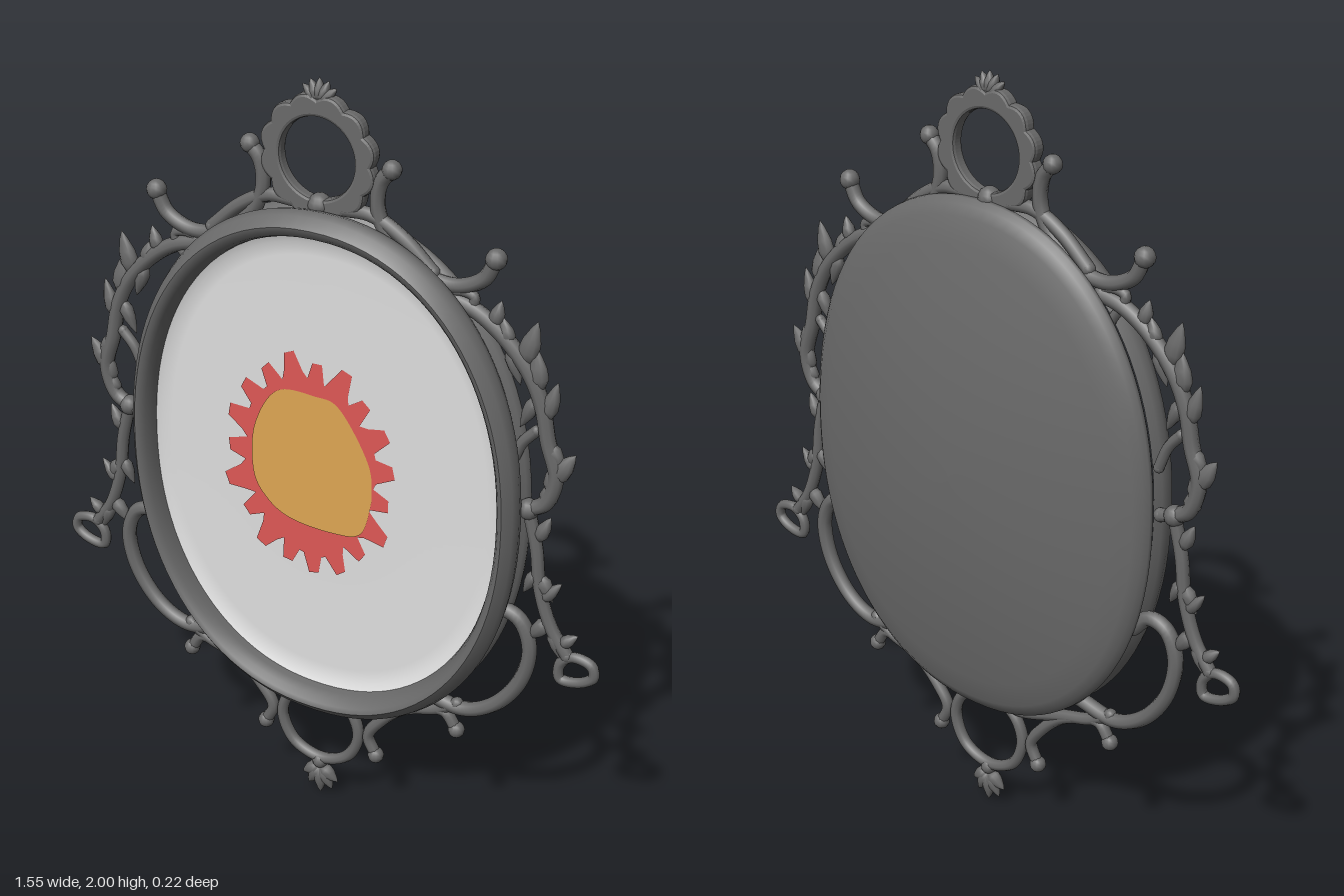
import * as THREE from 'three';

const iron = new THREE.MeshStandardMaterial({ color: 0x696969 });
iron.name = 'dark iron';
const glass = new THREE.MeshStandardMaterial({ color: 0xdedede });
glass.name = 'pale glass';
const red = new THREE.MeshStandardMaterial({ color: 0xde5855 });
red.name = 'red';
const amber = new THREE.MeshStandardMaterial({ color: 0xdea653 });
amber.name = 'amber';

const Z = 0.021; // mid plane of the scrollwork

function add(parent, geometry, material, name) {
  const mesh = new THREE.Mesh(geometry, material);
  mesh.name = name;
  parent.add(mesh);
  return mesh;
}

// Rounded oval swept along a profile of [scale, z], from front centre to back centre
function ovalLoft(profile, n = 96) {
  const pos = [], idx = [];
  for (const [s, z] of profile) {
    for (let j = 0; j < n; j++) {
      const t = (j / n) * Math.PI * 2, c = Math.cos(t), d = Math.sin(t);
      const p = 2 / 2.15;
      pos.push(0.022 + 0.545 * s * Math.sign(c) * Math.abs(c) ** p,
        0.997 + 0.695 * s * Math.sign(d) * Math.abs(d) ** p, z);
    }
  }
  for (let i = 0; i < profile.length - 1; i++) {
    for (let j = 0; j < n; j++) {
      const k = (j + 1) % n, a = i * n + j, b = a + n, c = i * n + k, d = c + n;
      idx.push(a, b, c, c, b, d);
    }
  }
  const g = new THREE.BufferGeometry();
  g.setAttribute('position', new THREE.Float32BufferAttribute(pos, 3));
  g.setIndex(idx);
  g.computeVertexNormals();
  return g;
}

function ball(parent, x, y, r, name = 'scrollEnd') {
  add(parent, new THREE.SphereGeometry(r, 12, 8), iron, name).position.set(x, y, Z);
}

// Round bar through flat points, with a ball of given radius at each end
function scroll(parent, side, pts, r, name, endA = r, endB = r, closed = false) {
  const path = new THREE.CatmullRomCurve3(pts.map(([x, y]) => new THREE.Vector3(side * x, y, Z)), closed);
  add(parent, new THREE.TubeGeometry(path, pts.length * 7, r, 8, closed), iron, name);
  if (closed) return;
  const last = pts[pts.length - 1];
  ball(parent, side * pts[0][0], pts[0][1], endA);
  ball(parent, side * last[0], last[1], endB);
}

// Pointed leaf growing from x, y towards an angle in degrees
const leafGeometry = new THREE.LatheGeometry(
  [[0, 0], [0.3, 0.1], [0.48, 0.3], [0.42, 0.55], [0.2, 0.83], [0, 1]].map(([x, y]) => new THREE.Vector2(x, y)), 10);
function leaf(parent, side, x, y, angle, length, width, name = 'leaf') {
  const m = add(parent, leafGeometry, iron, name);
  m.position.set(side * x, y, Z);
  m.rotation.z = side * (angle - 90) * Math.PI / 180;
  m.scale.set(width, length, 0.036);
}

function flatShape(points, smooth) {
  const v = points.map(([x, y]) => new THREE.Vector2(x, y));
  const shape = new THREE.Shape();
  if (smooth) {
    shape.moveTo(v[0].x, v[0].y);
    shape.splineThru([...v.slice(1), v[0]]);
  } else shape.setFromPoints(v);
  return new THREE.ShapeGeometry(shape, 8);
}

export function createModel() {
  const model = new THREE.Group();

  // Oval casing: front rim, outer wall and domed back
  const casing = new THREE.Group();
  casing.name = 'casing';
  model.add(casing);
  add(casing, ovalLoft([[0.895, 0.05], [0.9, 0.07], [0.912, 0.092], [0.93, 0.106], [0.95, 0.11]]), iron, 'innerRim');
  add(casing, ovalLoft([[0.95, 0.11], [0.985, 0.088], [0.998, 0.065], [0.99, 0.045], [0.97, 0.025]]), iron, 'outerRim');
  const dome = [[0.965, 0.025], [0.985, 0.012], [0.998, 0.002], [0.995, -0.008], [0.975, -0.02]];
  for (let s = 0.94; s > 0; s -= 0.094) dome.push([Math.max(s, 0.001), -0.112 + 0.085 * s * s]);
  dome.push([0.0005, -0.112]);
  add(casing, ovalLoft(dome), iron, 'domedBack');

  // Dished face with the painted flower
  add(model, ovalLoft([[0.0005, 0.04], [0.4, 0.04], [0.82, 0.04], [0.87, 0.044], [0.905, 0.056]]), glass, 'face');
  const petals = [];
  const teeth = 19;
  for (let i = 0; i < teeth; i++) {
    const wobble = 0.012 * Math.sin(i * 2.7);
    [[0, -0.045], [0.25, 0.008], [0.6, 0.004], [0.8, -0.04]].forEach(([f, dr]) => {
      const t = ((i + f) / teeth) * Math.PI * 2;
      petals.push([-0.02 + (0.235 + dr + wobble) * Math.cos(t), 1.0 + (0.295 + dr + wobble) * Math.sin(t)]);
    });
  }
  add(model, flatShape(petals, false), red, 'flowerPetals').position.z = 0.043;
  add(model, flatShape([[0.16, 0.95], [0.15, 1.05], [0.07, 1.18], [0, 1.2], [-0.11, 1.19], [-0.175, 1.08],
    [-0.18, 0.95], [-0.14, 0.88], [-0.07, 0.84], [0.05, 0.83], [0.13, 0.85]], true), amber, 'flowerCentre').position.z = 0.046;

  // Scalloped hanging ring
  const ring = new THREE.Shape();
  for (let i = 0; i < 120; i++) {
    const t = (i / 120) * Math.PI * 2, r = 0.134 + 0.014 * Math.abs(Math.sin(t * 6));
    ring[i ? 'lineTo' : 'moveTo'](r * Math.cos(t), r * Math.sin(t));
  }
  ring.holes.push(new THREE.Path().absarc(0, 0, 0.108, 0, Math.PI * 2, true));
  const ringGeometry = new THREE.ExtrudeGeometry(ring, {
    depth: 0.018, bevelThickness: 0.009, bevelSize: 0.008, bevelSegments: 2, curveSegments: 40 });
  add(model, ringGeometry, iron, 'hangingRing').position.set(0, 1.808, Z - 0.009);

  // Finials at top and bottom
  for (const a of [40, 65, 90, 115, 140]) leaf(model, 1, 0, 1.94, a, 0.06, 0.032, 'topFinial');
  for (const a of [-35, -62, -90, -118, -145]) leaf(model, 1, 0, 0.088, a, 0.088 - Math.abs(a + 90) * 0.0004, 0.045, 'bottomFinial');
  ball(model, 0, 0.105, 0.022, 'bottomKnob');
  ball(model, 0, 1.69, 0.03, 'ringMount');

  // Loop under the casing
  scroll(model, 1, [[-0.05, 0.33], [-0.1, 0.28], [-0.115, 0.22], [-0.08, 0.145], [0, 0.115],
    [0.08, 0.145], [0.115, 0.22], [0.1, 0.28], [0.05, 0.33]], 0.016, 'bottomLoop');

  // Mirrored scrollwork
  for (const side of [1, -1]) {
    const g = new THREE.Group();
    g.name = side > 0 ? 'leftScrollwork' : 'rightScrollwork';
    model.add(g);

    scroll(g, side, [[0.19, 1.81], [0.162, 1.775], [0.155, 1.71], [0.19, 1.635], [0.27, 1.575], [0.36, 1.56],
      [0.43, 1.59], [0.46, 1.645]], 0.019, 'topScroll', 0.024, 0.026);
    scroll(g, side, [[0.06, 1.69], [0.14, 1.69], [0.22, 1.65], [0.3, 1.58]], 0.018, 'topBrace');

    // Leafy garland and its hanging loop
    scroll(g, side, [[0.34, 1.53], [0.41, 1.51], [0.48, 1.465], [0.55, 1.39], [0.59, 1.31], [0.61, 1.22], [0.635, 1.13],
      [0.61, 1.055], [0.57, 1.03]], 0.02, 'upperStem', 0.02, 0.027);
    scroll(g, side, [[0.57, 1.03], [0.595, 0.93], [0.61, 0.82], [0.645, 0.72], [0.69, 0.655]], 0.017, 'lowerStem');
    scroll(g, side, [[0.675, 0.585], [0.73, 0.59], [0.762, 0.615], [0.755, 0.645], [0.705, 0.655], [0.672, 0.625]],
      0.014, 'hangingLoop', 0, 0, true);
    scroll(g, side, [[0.37, 1.47], [0.41, 1.54], [0.37, 1.55], [0.33, 1.53]], 0.013, 'smallCurl');
    scroll(g, side, [[0.58, 1.24], [0.545, 1.2], [0.52, 1.14]], 0.014, 'stemBrace');
    scroll(g, side, [[0.57, 1.03], [0.53, 1.02]], 0.018, 'sideBrace');
    const leaves = [[0.46, 1.48, 75, 0.07, 0.04], [0.5, 1.44, 105, 0.07, 0.045], [0.54, 1.4, 75, 0.12, 0.055],
      [0.58, 1.34, 95, 0.11, 0.055], [0.6, 1.27, 75, 0.11, 0.045], [0.5, 1.44, -70, 0.1, 0.04],
      [0.58, 1.33, -115, 0.1, 0.04], [0.625, 1.12, 55, 0.1, 0.055], [0.625, 1.08, 85, 0.1, 0.05],
      [0.61, 1.22, -60, 0.09, 0.045], [0.61, 1.05, 70, 0.08, 0.05], [0.595, 0.95, 65, 0.08, 0.04],
      [0.605, 0.86, -60, 0.08, 0.045], [0.6, 0.87, -115, 0.08, 0.035], [0.615, 0.79, 50, 0.08, 0.035],
      [0.64, 0.74, -130, 0.09, 0.045], [0.645, 0.72, -70, 0.09, 0.04], [0.67, 0.68, 40, 0.06, 0.035]];
    for (const l of leaves) leaf(g, side, ...l);

    // Lower scrolls
    scroll(g, side, [[0.46, 0.69], [0.51, 0.735], [0.56, 0.72], [0.59, 0.65], [0.57, 0.545], [0.5, 0.45],
      [0.415, 0.41], [0.3, 0.43]], 0.02, 'lowerScroll');
    scroll(g, side, [[0.4, 0.34], [0.365, 0.385], [0.31, 0.375], [0.24, 0.345], [0.18, 0.29], [0.145, 0.235],
      [0.168, 0.18]], 0.016, 'bottomScroll', 0.022, 0.022);
    scroll(g, side, [[0.4, 0.42], [0.34, 0.385], [0.25, 0.36], [0.12, 0.32], [0.06, 0.32]], 0.017, 'bottomBrace');
  }
  return model;
}
